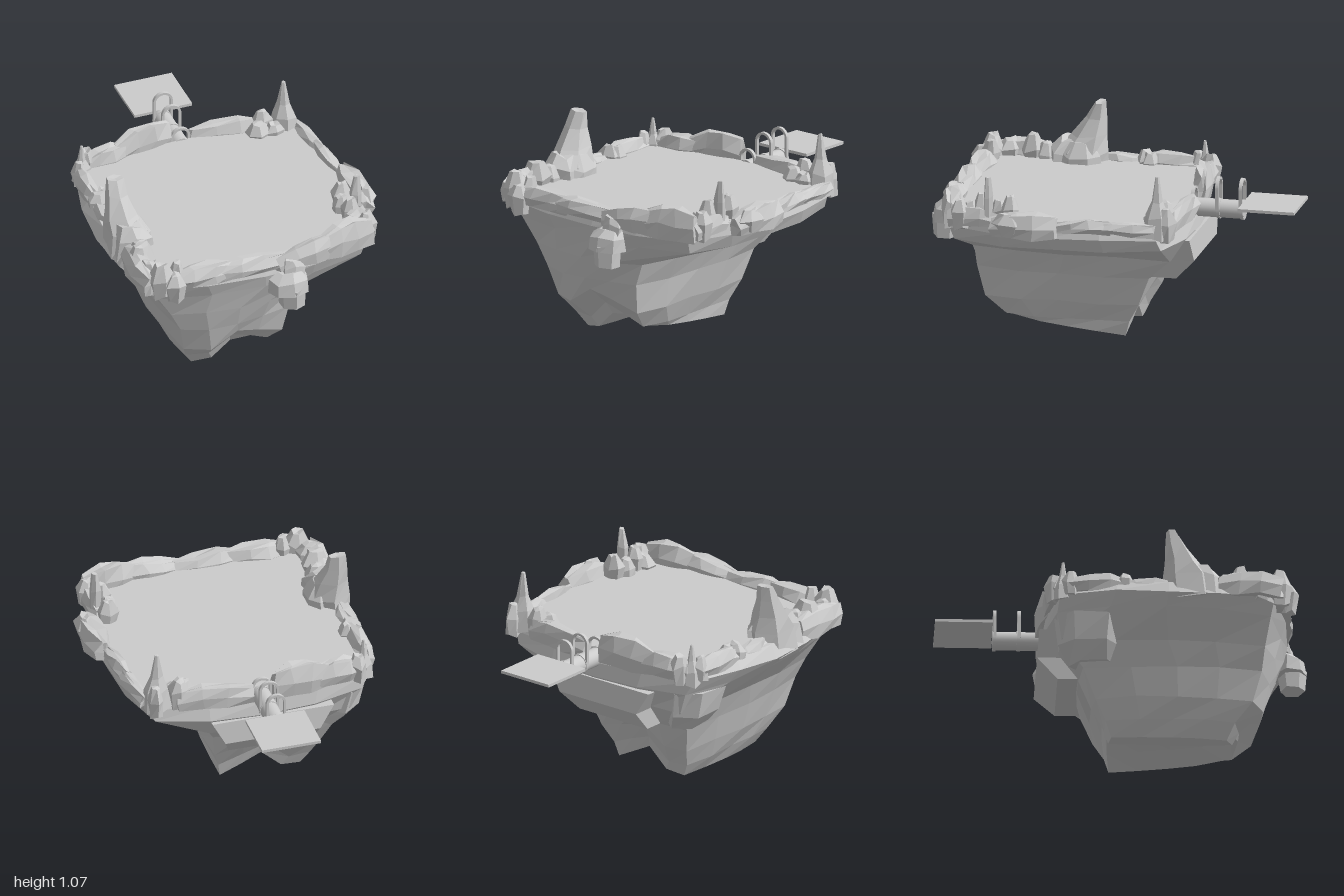
import * as THREE from 'three';

const stone = new THREE.MeshStandardMaterial({ color: 0xcccccc, flatShading: true });
const smooth = new THREE.MeshStandardMaterial({ color: 0xcccccc });

// repeatable noise in -0.5..0.5 from a position, so shared corners stay joined
function noise(p, seed) {
  const r = (v) => Math.round(v * 100);
  const s = Math.sin(r(p.x) * 1.271 + r(p.y) * 3.117 + r(p.z) * 0.747 + seed * 7.13) * 43758.5453;
  return s - Math.floor(s) - 0.5;
}

// moves every vertex of a geometry by a rule
function warp(geometry, rule) {
  const pos = geometry.attributes.position;
  const p = new THREE.Vector3();
  for (let i = 0; i < pos.count; i++) {
    p.fromBufferAttribute(pos, i);
    pos.setXYZ(i, ...rule(p));
  }
  geometry.computeVertexNormals();
  return geometry;
}

export function createModel() {
  const model = new THREE.Group();
  const add = (name, geometry, material = stone, parent = model) => {
    const mesh = new THREE.Mesh(geometry, material);
    mesh.name = name;
    parent.add(mesh);
    return mesh;
  };

  // island: levels of [y, xMin, xMax, zMin, zMax], from the foot to the floor
  const levels = [
    [0, -0.36, 0.115, -0.08, 0.6],
    [0.08, -0.41, 0.13, -0.11, 0.64],
    [0.19, -0.46, 0.17, -0.17, 0.76],
    [0.35, -0.51, 0.21, -0.24, 0.8],
    [0.48, -0.57, 0.26, -0.36, 0.83],
    [0.615, -0.7, 0.65, -0.45, 0.87],
    [0.69, -0.755, 0.68, -0.43, 0.9],
    [0.755, -0.71, 0.67, -0.4, 0.87],
  ];
  const top = levels.length - 1;
  add('island', warp(new THREE.BoxGeometry(2, 2, 2, 4, top, 4), (p) => {
    const k = Math.round((p.y + 1) / 2 * top);
    const [y, x0, x1, z0, z1] = levels[k];
    const round = k > 4 ? 0.26 : p.z < 0 ? 0.1 : 0.24;
    const u = p.x * Math.sqrt(1 - round * p.z * p.z);
    const v = p.z * Math.sqrt(1 - round * p.x * p.x);
    const amount = k === 0 || k === top ? 0 : 0.018;
    const x = (x0 + x1) / 2 + u * (x1 - x0) / 2 + amount * noise(p, 1);
    const z = (z0 + z1) / 2 + v * (z1 - z0) / 2 + amount * noise(p, 2);
    // notch that splits the foot into two ridges; the right one climbs to the front
    const notch = Math.max(0, 1 - Math.abs(x + 0.12) / (x < -0.12 ? 0.13 : 0.22));
    const climb = k === 0 && x > -0.05 ? 0.07 * (z + 0.08) / 0.66 : 0;
    return [x, y + (k < 3 ? 0.12 * notch : 0) + climb + amount * noise(p, 3), z];
  }));

  // rock lofted through sections of [y, centreX, centreZ, width, depth]
  let seed = 10;
  function rock(name, sections, sides = 6, rough = 0.4) {
    const n = sections.length - 1;
    const s = seed++;
    add(name, warp(new THREE.CylinderGeometry(1, 1, 1, sides, n), (p) => {
      const [y, cx, cz, w, d] = sections[Math.round((p.y + 0.5) * n)];
      const r = 0.5 * (1 + rough * noise(p, s));
      return [cx + p.x * w * r, y + Math.min(w, d) * rough * noise(p, s + 0.5), cz + p.z * d * r];
    }));
  }

  // long rim stone from (ax, az) to (bx, bz) with a sloping top
  function slab(ax, az, bx, bz, width, y0, ya, yb) {
    const length = Math.hypot(bx - ax, bz - az);
    const s = seed++;
    const mesh = add('rimStone', warp(new THREE.BoxGeometry(1, 1, 1, 3, 2, 2), (p) => {
      const end = Math.pow(Math.abs(p.x * 2), 3);
      const h = ya + (yb - ya) * (p.x + 0.5) - y0;
      const bulge = 1 - 0.4 * end - (p.y > 0.4 ? 0.4 : p.y < -0.4 ? 0.15 : 0);
      return [
        p.x * length + 0.03 * noise(p, s),
        y0 + (p.y + 0.5) * h * (1 - 0.2 * end) + 0.02 * noise(p, s + 0.3),
        p.z * width * bulge + 0.02 * noise(p, s + 0.6),
      ];
    }));
    mesh.position.set((ax + bx) / 2, 0, (az + bz) / 2);
    mesh.rotation.y = -Math.atan2(bz - az, bx - ax);
  }

  // ring of rim stones
  [
    [-0.62, -0.35, -0.34, -0.39, 0.11, 0.7, 0.81, 0.84],
    [-0.4, -0.38, -0.08, -0.44, 0.1, 0.7, 0.85, 0.9],
    [0.03, -0.42, 0.44, -0.38, 0.1, 0.7, 0.81, 0.82],
    [0.61, -0.34, 0.64, 0.0, 0.08, 0.72, 0.78, 0.79],
    [0.63, -0.1, 0.66, 0.22, 0.08, 0.72, 0.8, 0.78],
    [0.68, 0.19, 0.68, 0.54, 0.15, 0.69, 0.83, 0.8],
    [0.61, 0.52, 0.6, 0.8, 0.1, 0.71, 0.8, 0.83],
    [0.61, 0.78, 0.3, 0.84, 0.12, 0.7, 0.87, 0.86],
    [0.36, 0.83, 0.04, 0.87, 0.11, 0.71, 0.86, 0.79],
    [0.08, 0.85, -0.28, 0.86, 0.12, 0.72, 0.8, 0.82],
    [-0.2, 0.85, -0.56, 0.84, 0.13, 0.71, 0.82, 0.81],
    [-0.67, 0.84, -0.67, 0.5, 0.14, 0.69, 0.83, 0.83],
    [-0.66, 0.24, -0.66, -0.02, 0.09, 0.72, 0.79, 0.78],
    [-0.66, 0.02, -0.65, -0.3, 0.1, 0.71, 0.81, 0.81],
  ].forEach((s) => slab(...s));

  // tall rock on the left edge, with a lower shoulder in front and inside
  rock('tallRock', [
    [0.66, -0.63, 0.35, 0.24, 0.3], [0.8, -0.62, 0.34, 0.24, 0.29], [0.89, -0.64, 0.31, 0.18, 0.2],
    [0.99, -0.65, 0.275, 0.12, 0.12], [1.07, -0.65, 0.25, 0.1, 0.06],
  ], 6, 0.15);
  rock('tallRockShoulder', [[0.7, -0.62, 0.44, 0.22, 0.16], [0.8, -0.62, 0.44, 0.2, 0.14], [0.86, -0.63, 0.42, 0.12, 0.1]]);
  rock('tallRockFoot', [[0.7, -0.55, 0.34, 0.14, 0.26], [0.8, -0.55, 0.34, 0.13, 0.22], [0.87, -0.57, 0.34, 0.06, 0.12]]);

  // rocks hanging from the front edge
  rock('hangingRockFoot', [[0.5, 0.11, 0.925, 0.14, 0.13], [0.62, 0.11, 0.92, 0.15, 0.16]], 6, 0.1);
  rock('hangingRock', [[0.58, 0.1, 0.91, 0.23, 0.19], [0.66, 0.1, 0.91, 0.22, 0.16], [0.7, 0.11, 0.89, 0.14, 0.1]], 7, 0.12);
  rock('hangingRockTop', [[0.64, 0.12, 0.9, 0.13, 0.1], [0.72, 0.13, 0.89, 0.13, 0.09], [0.77, 0.12, 0.88, 0.08, 0.08]]);

  // block jutting out under the back edge, and its continuation round the corner
  add('backOutcrop', warp(new THREE.BoxGeometry(1, 1, 1, 1, 2, 1), (p) => {
    const k = Math.round((p.y + 0.5) * 2);
    const back = [-0.35, -0.46, -0.45][k];
    return [p.x < 0 ? [-0.33, -0.34, -0.42][k] : [0.14, 0.19, 0.26][k], [0.35, 0.47, 0.6][k], p.z < 0 ? back : -0.1];
  }));
  rock('sideOutcrop', [[0.37, -0.45, -0.16, 0.2, 0.28], [0.46, -0.51, -0.18, 0.24, 0.34], [0.6, -0.54, -0.18, 0.26, 0.38]], 6, 0.08);

  // pointed stones: [x, z, base y, tip y, width]
  [
    [0.54, -0.34, 0.7, 1.03, 0.15],
    [-0.62, -0.33, 0.68, 0.9, 0.1],
  ].forEach(([x, z, y0, y1, w]) => {
    const h = y1 - y0;
    rock('spike', [
      [y0, x, z, w, w], [y0 + h * 0.35, x, z, w * 0.9, w * 0.9],
      [y0 + h * 0.6, x, z, w * 0.45, w * 0.45], [y1, x, z, w * 0.15, w * 0.15],
    ], 6, 0.25);
  });

  // blunt stones: [x, z, base y, top y, width, depth]
  [
    [0.38, -0.31, 0.72, 0.82, 0.13, 0.11], [0.42, -0.36, 0.7, 0.86, 0.1, 0.1],
    [0.47, -0.29, 0.72, 0.81, 0.1, 0.08], [0.56, -0.39, 0.69, 0.86, 0.09, 0.1],
    [0.54, 0.53, 0.72, 0.84, 0.1, 0.1], [0.57, 0.46, 0.72, 0.88, 0.1, 0.09],
    [0.61, 0.575, 0.72, 0.99, 0.06, 0.05], [0.56, 0.62, 0.72, 0.88, 0.09, 0.08],
    [0.55, 0.68, 0.72, 0.83, 0.12, 0.1], [0.61, 0.73, 0.7, 0.85, 0.09, 0.1],
    [-0.65, 0.0, 0.7, 0.82, 0.13, 0.09], [-0.62, -0.03, 0.7, 0.81, 0.08, 0.09],
    [-0.58, -0.37, 0.69, 0.84, 0.09, 0.1], [-0.65, -0.29, 0.69, 0.83, 0.08, 0.08],
    [-0.62, 0.54, 0.7, 0.84, 0.12, 0.1], [-0.64, 0.62, 0.7, 0.87, 0.15, 0.12],
    [-0.64, 0.74, 0.68, 0.84, 0.12, 0.12], [-0.6, 0.83, 0.67, 0.87, 0.13, 0.12],
    [-0.54, 0.88, 0.65, 0.82, 0.11, 0.09], [-0.51, 0.82, 0.7, 0.86, 0.08, 0.08],
    [0.71, 0.44, 0.71, 0.82, 0.09, 0.16],
  ].forEach(([x, z, y0, y1, w, d]) => rock('rimRock', [
    [y0, x, z, w * 0.9, d * 0.9], [y0 + (y1 - y0) * 0.6, x, z, w * 1.1, d * 1.1], [y1, x, z, w * 0.55, d * 0.55],
  ]));

  // bridge: pipe, bands, arches and landing plate
  const bridge = new THREE.Group();
  bridge.name = 'bridge';
  bridge.position.x = -0.025;
  model.add(bridge);
  const disc = (name, r, z, length) => {
    const mesh = add(name, new THREE.CylinderGeometry(r, r, length, 24), smooth, bridge);
    mesh.rotation.x = Math.PI / 2;
    mesh.position.set(0, 0.71, z);
  };
  disc('pipe', 0.05, -0.54, 0.3);
  [-0.4, -0.55, -0.68].forEach((z) => disc('pipeBand', 0.055, z, 0.018));

  const outline = (path, r) => {
    path.moveTo(r, 0.71);
    path.lineTo(r, 0.83);
    path.absarc(0, 0.83, r, 0, Math.PI, false);
    path.lineTo(-r, 0.71);
    path.closePath();
    return path;
  };
  const arch = outline(new THREE.Shape(), 0.055);
  arch.holes.push(outline(new THREE.Path(), 0.042));
  const archGeometry = new THREE.ExtrudeGeometry(arch, { depth: 0.018, bevelEnabled: false, curveSegments: 12 });
  [[-0.06, -0.42], [0, -0.555], [0, -0.685]].forEach(([y, z]) => {
    add('arch', archGeometry, stone, bridge).position.set(0, y, z);
  });

  add('landingPlate', new THREE.BoxGeometry(0.33, 0.016, 0.31), stone, bridge).position.set(0.01, 0.756, -0.845);

  return model;
}
